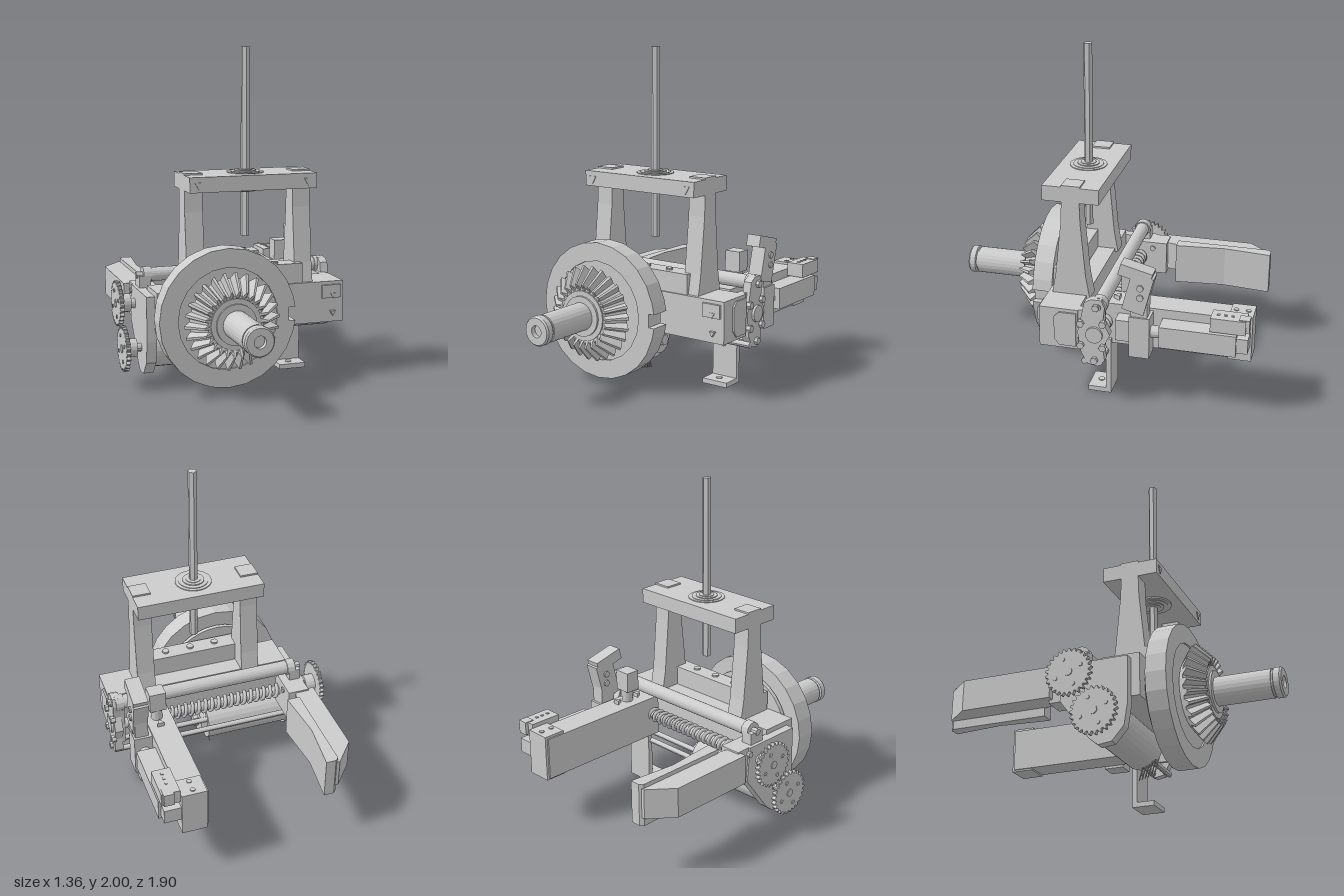
import * as THREE from 'three';

const mat = new THREE.MeshStandardMaterial({ color: 0xcccccc, flatShading: true, side: THREE.DoubleSide });
const smooth = new THREE.MeshStandardMaterial({ color: 0xcccccc, side: THREE.DoubleSide });

export function createModel() {
  const model = new THREE.Group();
  const add = (name, geo, m = mat) => {
    const mesh = new THREE.Mesh(geo, m);
    mesh.name = name;
    model.add(mesh);
    return mesh;
  };
  // Box from its limits on each axis
  const box = (name, x0, x1, y0, y1, z0, z1) => add(name,
    new THREE.BoxGeometry(x1 - x0, y1 - y0, z1 - z0).translate((x0 + x1) / 2, (y0 + y1) / 2, (z0 + z1) / 2));
  // Cylinders along each axis
  const cylX = (name, r, x0, x1, y, z, n = 20) => add(name,
    new THREE.CylinderGeometry(r, r, x1 - x0, n).rotateZ(-Math.PI / 2).translate((x0 + x1) / 2, y, z));
  const cylY = (name, r, y0, y1, x, z, n = 20) => add(name,
    new THREE.CylinderGeometry(r, r, y1 - y0, n).translate(x, (y0 + y1) / 2, z));
  const cylZ = (name, r, z0, z1, x, y, n = 24) => add(name,
    new THREE.CylinderGeometry(r, r, z1 - z0, n).rotateX(Math.PI / 2).translate(x, y, (z0 + z1) / 2));
  const shapeOf = pts => new THREE.Shape(pts.map(p => new THREE.Vector2(p[0], p[1])));
  const extrude = (shape, depth) => new THREE.ExtrudeGeometry(shape, { depth, bevelEnabled: false, curveSegments: 10 });
  // Side outline of (z, y) points, extruded along x
  const sidePlate = (name, pts, x0, x1) => add(name,
    extrude(shapeOf(pts.map(([z, y]) => [-z, y])), x1 - x0).rotateY(Math.PI / 2).translate(x0, 0, 0));
  // Plan outline of (x, z) points, extruded along y
  const planPlate = (name, pts, y0, y1) => add(name,
    extrude(shapeOf(pts.map(([x, z]) => [x, -z])), y1 - y0).rotateX(-Math.PI / 2).translate(0, y0, 0));

  const CX = -0.14, CY = 0.46;

  // Notched wheel with a recessed back
  const rim = [];
  for (let i = 0; i < 24; i++) {
    const a = (i / 24) * Math.PI * 2;
    if (i === 0) rim.push([0.41, -0.04], [0.37, -0.04], [0.37, 0.04], [0.41, 0.04]);
    else rim.push([0.41 * Math.cos(a), 0.41 * Math.sin(a)]);
  }
  const rimShape = shapeOf(rim);
  rimShape.holes.push(new THREE.Path().absarc(0, 0, 0.3, 0, Math.PI * 2, true));
  add('wheelRim', extrude(rimShape, 0.12).translate(CX, CY, 0.29));
  cylZ('wheelWeb', 0.305, 0.36, 0.40, CX, CY, 32);
  cylZ('wheelHub', 0.16, 0.25, 0.42, CX, CY);
  cylZ('backFlange', 0.32, 0.255, 0.28, CX, CY, 32);

  // Bevel gear lofted from toothed rings of [tip r, tip z, root r, root z]
  const rings = [[0.1, 0.41, 0.1, 0.41], [0.2, 0.41, 0.2, 0.41], [0.285, 0.48, 0.245, 0.445],
    [0.19, 0.57, 0.165, 0.545], [0.15, 0.545, 0.15, 0.545], [0.08, 0.545, 0.08, 0.545]];
  const teeth = 26, per = teeth * 4, pos = [], index = [];
  rings.forEach(([tr, tz, rr, rz], k) => {
    for (let i = 0; i < per; i++) {
      const tip = i % 4 < 2;
      const a = ((Math.floor(i / 4) + [0.08, 0.32, 0.56, 0.86][i % 4]) / teeth) * Math.PI * 2;
      const r = tip ? tr : rr;
      pos.push(r * Math.cos(a), r * Math.sin(a), tip ? tz : rz);
      if (k) {
        const j = (i + 1) % per, p = (k - 1) * per, q = k * per;
        index.push(p + i, p + j, q + j, p + i, q + j, q + i);
      }
    }
  });
  const bevel = new THREE.BufferGeometry();
  bevel.setAttribute('position', new THREE.Float32BufferAttribute(pos, 3));
  bevel.setIndex(index);
  bevel.computeVertexNormals();
  add('bevelGear', bevel.translate(CX, CY, 0));

  // Drive shaft with collar, neck and end cap
  const shaft = [[0, 0.4], [0.15, 0.4], [0.15, 0.553], [0.12, 0.553], [0.12, 0.565], [0.083, 0.565], [0.083, 0.89],
    [0.075, 0.89], [0.075, 0.9], [0.086, 0.905], [0.086, 0.94], [0.078, 0.95], [0.035, 0.95], [0.035, 0.92], [0, 0.92]];
  add('driveShaft', new THREE.LatheGeometry(shaft.map(p => new THREE.Vector2(...p)), 24)
    .rotateX(Math.PI / 2).translate(CX, CY, 0));

  // Housing beam, raised web and end plates
  box('housingBeam', -0.52, 0.64, 0.35, 0.6, 0.02, 0.25);
  box('raisedWeb', -0.33, 0.38, 0.6, 0.72, 0.13, 0.24);
  for (const x of [-0.1, 0.06, 0.22]) cylY('webScrew', 0.022, 0.72, 0.73, x, 0.19, 10);
  box('leftEndPlate', 0.58, 0.63, 0.35, 0.6, -0.13, 0.24);
  sidePlate('leftBearingPlate', [[-0.02, 0.66], [-0.06, 0.685], [-0.12, 0.685], [-0.14, 0.64], [-0.13, 0.55], [-0.17, 0.47],
    [-0.13, 0.38], [-0.14, 0.3], [-0.1, 0.26], [-0.04, 0.27], [0.0, 0.34], [0.02, 0.47], [0, 0.56]], 0.6, 0.65);
  for (const [y, z] of [[0.64, -0.09], [0.53, 0.0], [0.39, 0.0], [0.3, -0.08], [0.54, -0.13], [0.39, -0.13]])
    cylX('plateScrew', 0.022, 0.64, 0.67, y, z, 6);
  cylX('screwBearing', 0.05, 0.64, 0.665, 0.465, -0.08, 14);
  sidePlate('endCover', [[0.16, 0.55], [0.13, 0.58], [0.03, 0.58], [0.03, 0.37], [0.13, 0.37], [0.16, 0.41]], 0.63, 0.65);
  box('frontLug', 0.5, 0.62, 0.5, 0.58, 0.25, 0.265);
  for (const y of [0.41, 0.52]) cylZ('frontPin', 0.02, 0.24, 0.27, 0.57, y, 3);

  // Motor mount, motor and its pins
  sidePlate('motorMount', [[0.2, 0.57], [-0.18, 0.57], [-0.2, 0.36], [-0.02, 0.12], [0.03, 0.08], [0.11, 0.09],
    [0.18, 0.17], [0.2, 0.3]], -0.57, -0.51);
  cylX('motor', 0.12, -0.52, 0.02, 0.235, 0.05, 24);
  cylX('motorCap', 0.085, 0.02, 0.06, 0.235, 0.05, 16);
  cylX('motorBoss', 0.035, 0.06, 0.09, 0.235, 0.05, 6);
  for (let i = 0; i < 6; i++) {
    const pin = cylY('motorPin', 0.004, -0.05, 0.05, -0.02, 0, 5);
    pin.position.set(0, 0.11 - i * 0.004, 0.15 - i * 0.018);
    pin.rotation.x = 0.3;
  }

  // Pair of meshing spur gears
  function spurGear(name, y, z, turn) {
    const n = 26, pts = [];
    for (let i = 0; i < n; i++)
      [[0, 0.12], [0.28, 0.137], [0.5, 0.137], [0.78, 0.12]].forEach(([f, r]) => {
        const a = ((i + f + turn) / n) * Math.PI * 2;
        pts.push([r * Math.cos(a) + z, r * Math.sin(a) + y]);
      });
    sidePlate(name, pts, -0.685, -0.66);
    cylX(name + 'Hub', 0.055, -0.66, -0.6, y, z, 16);
    cylX(name + 'Axle', 0.025, -0.69, -0.5, y, z, 10);
    for (let k = 0; k < 4; k++) {
      const a = k * Math.PI / 2 + 0.4;
      cylX(name + 'Bolt', 0.012, -0.69, -0.68, y + 0.08 * Math.sin(a), z + 0.08 * Math.cos(a), 8);
    }
  }
  spurGear('upperGear', 0.475, -0.1, 0);
  spurGear('lowerGear', 0.235, 0.05, 0.5);

  // Guide rods and lead screw
  cylX('upperGuideRod', 0.042, -0.5, 0.6, 0.64, -0.1, 20);
  for (const x of [-0.52, 0.58]) cylX('rodCollar', 0.05, x, x + 0.05, 0.64, -0.1, 12);
  cylX('rodTip', 0.02, -0.56, 0.66, 0.64, -0.1, 10);
  box('rodSupport', -0.55, -0.48, 0.52, 0.64, -0.15, -0.05);
  for (const z of [-0.11, -0.02]) cylX('lowerGuideRod', 0.018, -0.53, 0.65, 0.285, z, 10);
  cylX('leadScrewCore', 0.03, -0.6, 0.62, 0.47, -0.1, 14);
  const turns = 24, helix = [];
  for (let i = 0; i <= turns * 10; i++) {
    const a = (i / 10) * Math.PI * 2;
    helix.push(new THREE.Vector3(-0.47 + 1.03 * i / (turns * 10), 0.47 + 0.036 * Math.sin(a), -0.1 + 0.036 * Math.cos(a)));
  }
  add('leadScrewThread', new THREE.TubeGeometry(new THREE.CatmullRomCurve3(helix), turns * 12, 0.012, 5), smooth);

  // Upright frame: tapered legs, top bar, bearing and rod
  for (const x of [-0.33, 0.34]) {
    sidePlate('frameLeg', [[0.23, 0.58], [0.205, 0.72], [0.17, 1.05], [0.165, 1.2], [0.06, 1.2],
      [0.055, 1.05], [0.025, 0.72], [0.0, 0.58]], x, x + 0.11);
    box('framePad', x, x + 0.11, 1.26, 1.275, 0.055, 0.165);
    cylZ('frameBolt', 0.03, 0.275, 0.285, x + 0.055, 1.22, 3);
  }
  box('topBar', -0.33, 0.45, 1.175, 1.265, -0.055, 0.28);
  [[0.11, 1.27], [0.09, 1.274], [0.065, 1.28], [0.045, 1.284]].forEach(([r, top]) =>
    cylY('rodBearing', r, 1.165 - (top - 1.27), top, 0.06, 0.11, 28));
  cylY('verticalRod', 0.026, 0.885, 2, 0.06, 0.11, 6);

  // Foot bracket
  box('bracketUpright', 0.33, 0.5, 0, 0.36, -0.14, -0.11);
  box('bracketFoot', 0.33, 0.5, 0, 0.03, -0.14, 0);
  cylY('footBolt', 0.02, 0.03, 0.035, 0.41, -0.06, 8);
  cylZ('bracketBolt', 0.015, -0.11, -0.1, 0.41, 0.23, 8);

  // Left finger with tip block and side actuator
  box('leftFinger', 0.32, 0.48, 0.33, 0.585, -0.94, -0.06);
  box('fingerTip', 0.33, 0.48, 0.32, 0.6, -0.955, -0.82);
  for (const z of [-0.92, -0.85]) cylY('tipScrew', 0.015, 0.6, 0.606, 0.405, z, 8);
  box('tipSensor', 0.48, 0.59, 0.54, 0.625, -0.93, -0.73);
  for (const z of [-0.85, -0.81, -0.77]) box('sensorPin', 0.53, 0.545, 0.625, 0.63, z - 0.008, z + 0.008);
  box('sensorPlug', 0.52, 0.58, 0.55, 0.63, -0.95, -0.89);
  box('sideActuator', 0.48, 0.595, 0.4, 0.53, -0.88, -0.44);
  box('actuatorCap', 0.48, 0.58, 0.42, 0.51, -0.945, -0.88);
  cylZ('actuatorRod', 0.035, -0.44, -0.36, 0.53, 0.465, 12);

  // Tilted switch and its mounts on the finger
  box('switchMount', 0.48, 0.59, 0.315, 0.57, -0.385, -0.265);
  box('switchArm', 0.48, 0.57, 0.4, 0.53, -0.265, -0.18);
  box('switchPost', 0.5, 0.58, 0.57, 0.68, -0.37, -0.27);
  const tilted = add('tiltedSwitch', new THREE.BoxGeometry(0.09, 0.24, 0.13));
  tilted.position.set(0.545, 0.72, -0.315);
  tilted.rotation.x = -0.25;
  const head = add('switchHead', new THREE.BoxGeometry(0.09, 0.07, 0.19));
  head.position.set(0.545, 0.84, -0.3);
  head.rotation.x = -0.25;
  for (const y of [0.7, 0.76]) cylX('switchPivot', 0.02, 0.49, 0.6, y, -0.33, 10);
  cylY('knobStem', 0.035, 0.58, 0.67, 0.41, -0.24, 12);
  box('knob', 0.36, 0.46, 0.66, 0.785, -0.28, -0.19);
  for (const z of [-0.32, -0.16]) cylY('fingerScrew', 0.025, 0.58, 0.61, 0.41, z, 3);

  // Right finger: tall gripping pad, low outer wedge and carriage
  planPlate('rightFingerPad', [[-0.47, -0.92], [-0.45, -0.94], [-0.39, -0.94], [-0.42, -0.65], [-0.39, -0.34], [-0.47, -0.34]], 0.33, 0.585);
  planPlate('rightFingerWedge', [[-0.6, -0.25], [-0.6, -0.79], [-0.48, -0.93], [-0.46, -0.93], [-0.46, -0.34],
    [-0.47, -0.28], [-0.5, -0.25]], 0.38, 0.56);
  box('rightCarriage', -0.56, -0.43, 0.36, 0.57, -0.27, -0.05);
  cylX('carriageBolt', 0.018, -0.58, -0.42, 0.53, -0.18, 8);

  return model;
}
